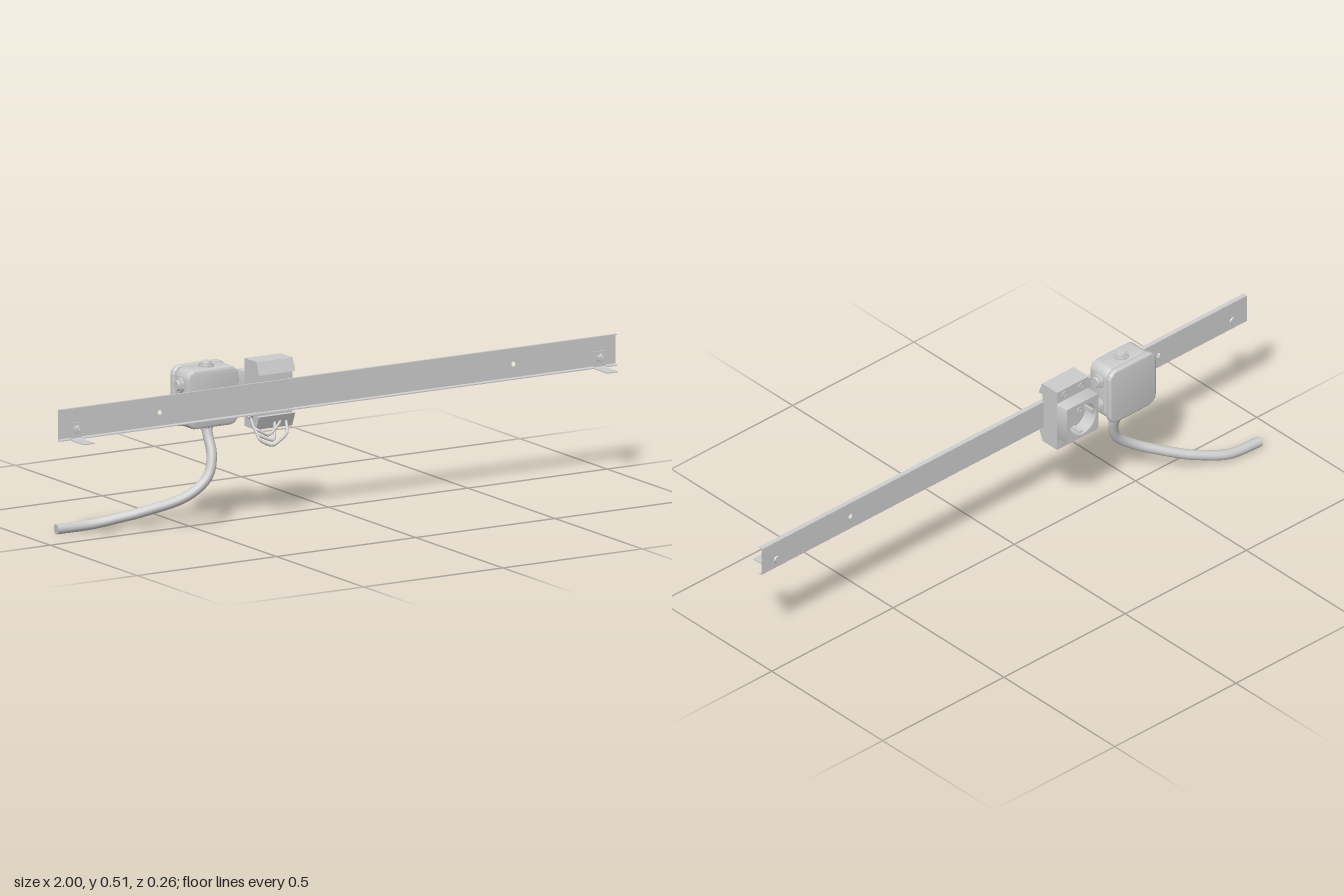
import * as THREE from 'three';
import { toCreasedNormals } from 'three/addons/utils/BufferGeometryUtils.js';

const material = new THREE.MeshStandardMaterial({ color: 0xcccccc, side: THREE.DoubleSide });

function add(parent, name, geometry, x = 0, y = 0, z = 0) {
  const mesh = new THREE.Mesh(geometry, material);
  mesh.name = name;
  mesh.position.set(x, y, z);
  parent.add(mesh);
  return mesh;
}

function group(parent, name) {
  const g = new THREE.Group();
  g.name = name;
  parent.add(g);
  return g;
}

// Rounded rectangle centred on the origin
function roundRect(w, h, r) {
  const s = new THREE.Shape();
  const a = w / 2 - r, b = h / 2 - r;
  s.absarc(a, b, r, 0, Math.PI / 2);
  s.absarc(-a, b, r, Math.PI / 2, Math.PI);
  s.absarc(-a, -b, r, Math.PI, Math.PI * 1.5);
  s.absarc(a, -b, r, Math.PI * 1.5, Math.PI * 2);
  s.closePath();
  return s;
}

function hole(shape, x, y, r) {
  shape.holes.push(new THREE.Path().absarc(x, y, r, 0, Math.PI * 2, true));
}

// Plate in the xy plane running from z0 to z1, optionally with rounded rims
function plate(shape, z0, z1, bevel = 0) {
  const g = new THREE.ExtrudeGeometry(shape, {
    depth: z1 - z0 - 2 * bevel, bevelEnabled: bevel > 0, bevelSize: bevel,
    bevelThickness: bevel, bevelOffset: -bevel, bevelSegments: 3, curveSegments: 12,
  });
  g.translate(0, 0, z0 + bevel);
  return toCreasedNormals(g, 0.6);
}

// Profile of [z, y] points swept along x and centred on x = 0
function sweepX(points, width) {
  const shape = new THREE.Shape(points.map(([z, y]) => new THREE.Vector2(-z, y)));
  const g = new THREE.ExtrudeGeometry(shape, { depth: width, bevelEnabled: false });
  g.translate(0, 0, -width / 2);
  g.rotateY(Math.PI / 2);
  return toCreasedNormals(g, 0.5);
}

// Round cable along a smooth path, with closed ends
function cable(parent, name, points, radius, segments, tension = 0.5) {
  const pts = points.map((p) => new THREE.Vector3(...p));
  const curve = new THREE.CatmullRomCurve3(pts, false, 'catmullrom', tension);
  add(parent, name, new THREE.TubeGeometry(curve, segments, radius, 12));
  for (const t of [0, 1]) {
    const p = curve.getPoint(t);
    const cap = add(parent, name + 'End', new THREE.CircleGeometry(radius, 12), p.x, p.y, p.z);
    cap.lookAt(p.clone().add(curve.getTangent(t)));
  }
}

function buildRail(model) {
  const rail = group(model, 'rail');
  const web = new THREE.Shape();
  web.moveTo(-1, 0.338).lineTo(1, 0.338).lineTo(1, 0.431).lineTo(-1, 0.431).closePath();
  for (const s of [-1, 1]) hole(web, s * 0.635, 0.382, 0.008);
  add(rail, 'railWeb', plate(web, 0.044, 0.047));
  // Curled lips along both edges, turned to the front
  for (const s of [-1, 1]) {
    const lip = [[0.044, 0.044], [0.0455, 0.048], [0.049, 0.0495], [0.057, 0.0495],
      [0.057, 0.0465], [0.05, 0.0465], [0.047, 0.044]].map(([z, y]) => [z, 0.3845 + s * y]);
    add(rail, 'railLip', sweepX(lip, 2));
  }
}

function buildBracket(model, x) {
  const bracket = group(model, 'bracket');
  bracket.position.set(x, 0.367, 0);
  // Angle plate: upright against the rail, foot to the front
  add(bracket, 'anglePlate', sweepX([[0.053, 0.021], [0.057, 0.021], [0.057, -0.027],
    [0.061, -0.031], [0.128, -0.031], [0.128, -0.034], [0.059, -0.034], [0.053, -0.028]], 0.04));
  const parts = [['boltHead', 0.013, 0.010, 0.040, 0.045, 16], ['washer', 0.014, 0.014, 0.047, 0.053, 20],
    ['frontWasher', 0.013, 0.013, 0.057, 0.061, 20], ['hexNut', 0.0125, 0.0125, 0.061, 0.073, 6],
    ['boltShank', 0.007, 0.007, 0.042, 0.079, 12]];
  for (const [name, r1, r0, z0, z1, sides] of parts) {
    const g = new THREE.CylinderGeometry(r1, r0, z1 - z0, sides);
    g.rotateX(Math.PI / 2);
    add(bracket, name, toCreasedNormals(g, 0.6), 0, 0, (z0 + z1) / 2);
  }
}

function buildSocket(model) {
  const socket = group(model, 'socket');
  socket.position.x = -0.225;
  // Body with a clip recess for the rail
  add(socket, 'socketBody', sweepX([[0.05, 0.498], [-0.018, 0.498], [-0.018, 0.286], [0.047, 0.286],
    [0.065, 0.328], [0.048, 0.328], [0.048, 0.458], [0.065, 0.458]], 0.13));
  // Raised face with the round plug well
  const face = roundRect(0.13, 0.129, 0.003);
  hole(face, 0, 0, 0.054);
  add(socket, 'socketFace', plate(face, -0.063, -0.018), 0, 0.3925, 0);
  const disc = (name, x, y, z, r, depth) => {
    const g = new THREE.CylinderGeometry(r, r, depth, 20);
    g.rotateX(Math.PI / 2);
    add(socket, name, toCreasedNormals(g, 0.6), x, y, z);
  };
  // Contact sleeves, earth clips and guide ribs in the well
  for (const s of [-1, 1]) {
    add(socket, 'contactSleeve', new THREE.TorusGeometry(0.0075, 0.002, 6, 16), s * 0.026, 0.3925, -0.019);
    add(socket, 'earthClip', new THREE.BoxGeometry(0.012, 0.006, 0.036), 0, 0.3925 + s * 0.051, -0.036);
    add(socket, 'guideRib', new THREE.BoxGeometry(0.008, 0.016, 0.036), s * 0.051, 0.3925, -0.036);
  }
  disc('wellScrew', 0, 0.3925, -0.019, 0.007, 0.006);
  // Terminal screws on both shoulders
  for (const sx of [-1, 1]) for (const y of [0.306, 0.478]) {
    add(socket, 'terminalRim', new THREE.TorusGeometry(0.01, 0.002, 6, 18), sx * 0.035, y, -0.018);
    disc('terminalScrew', sx * 0.035, y, -0.018, 0.007, 0.003);
  }
}

function buildJunctionBox(model) {
  const box = group(model, 'junctionBox');
  box.position.set(-0.44, 0.403, 0);
  add(box, 'boxBody', plate(roundRect(0.184, 0.184, 0.032), -0.034, 0.043, 0.008));
  add(box, 'boxRim', plate(roundRect(0.176, 0.176, 0.03), -0.037, -0.03));
  add(box, 'boxLid', plate(roundRect(0.192, 0.192, 0.032), -0.056, -0.035, 0.006));

  // Stepped rubber grommets on the walls
  const profile = [[0, 0.018], [0.015, 0.018], [0.017, 0.015], [0.017, 0.011], [0.021, 0.011],
    [0.021, 0.007], [0.024, 0.006], [0.024, -0.004]].map(([r, y]) => new THREE.Vector2(r, y));
  const grommet = toCreasedNormals(new THREE.LatheGeometry(profile.reverse(), 24), 0.6);
  const place = (x, y, turn) => {
    add(box, 'grommet', grommet, x, y, 0).rotation.z = turn;
  };
  place(0, 0.09, 0);
  place(0, -0.09, Math.PI);
  for (const s of [-1, 1]) for (const y of [-0.043, 0.043]) place(s * 0.09, y, -s * Math.PI / 2);
}

export function createModel() {
  const model = new THREE.Group();
  model.name = 'railWithSocketAndJunctionBox';

  buildRail(model);
  for (const s of [-1, 1]) buildBracket(model, s * 0.94);
  buildSocket(model);
  buildJunctionBox(model);

  // Supply cable hanging from the box
  cable(model, 'supplyCable', [[-0.44, 0.32, 0], [-0.44, 0.28, 0.011], [-0.442, 0.22, 0.036],
    [-0.468, 0.155, 0.047], [-0.54, 0.1, 0.03], [-0.64, 0.058, -0.035], [-0.7, 0.04, -0.07],
    [-0.79, 0.021, -0.107], [-0.905, 0.018, -0.117]], 0.016, 40);

  // Short sheathed lead and three cores looping under the socket
  cable(model, 'linkCable', [[-0.35, 0.36, 0], [-0.325, 0.359, 0.002], [-0.31, 0.345, 0.012],
    [-0.305, 0.325, 0.042]], 0.008, 14);
  const cores = [[0.238, 0.089, -0.255, -0.185], [0.252, 0.083, -0.25, -0.225], [0.268, 0.076, -0.262, -0.205]];
  for (const [low, front, mid, end] of cores) {
    cable(model, 'wireCore', [[-0.305, 0.33, 0.036], [-0.302, 0.295, 0.056], [-0.295, low + 0.022, front - 0.008],
      [mid, low + 0.004, front], [end - 0.012, low + 0.032, front - 0.014], [end, 0.308, 0.05]], 0.0045, 22, 0.3);
  }
  return model;
}
